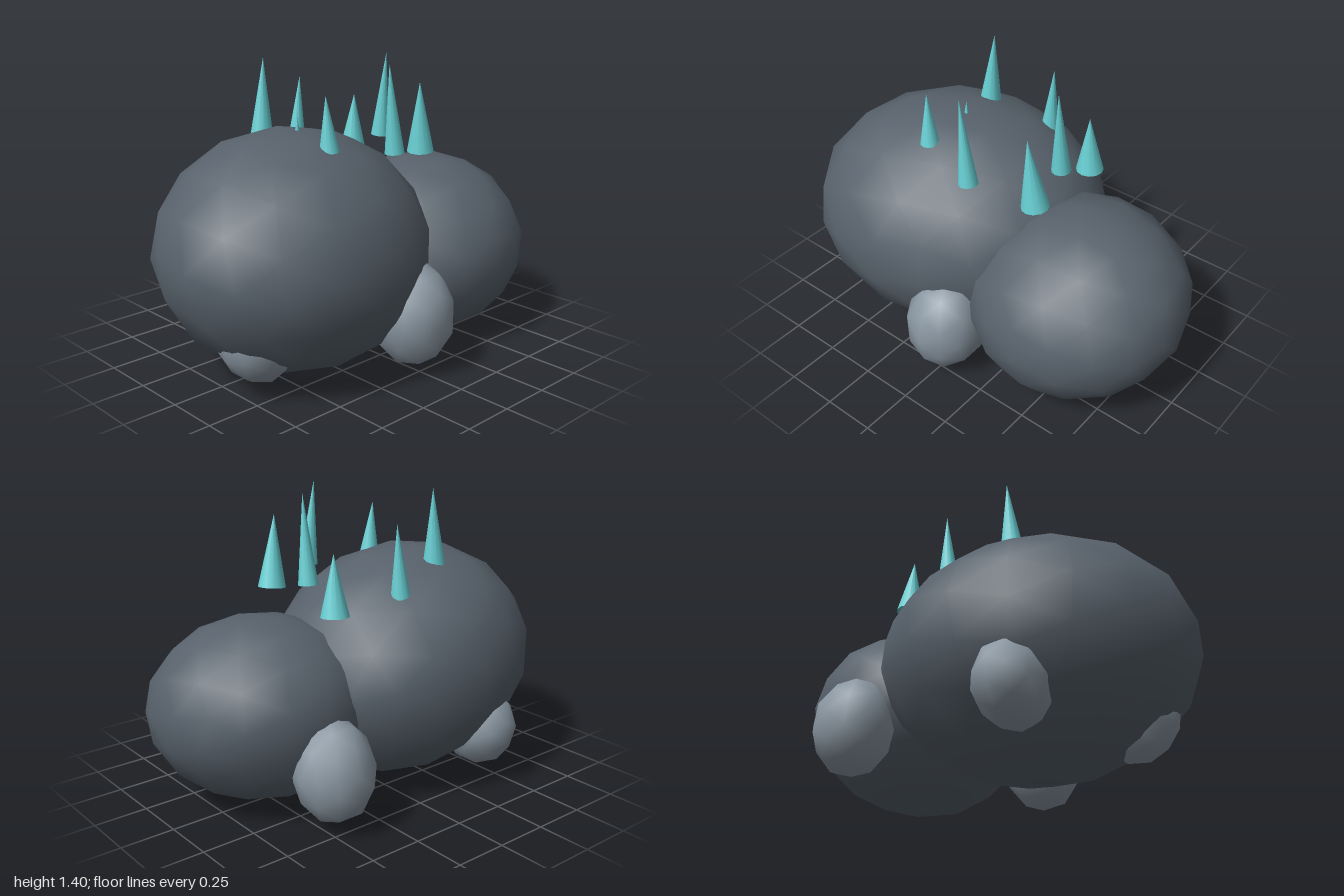
import * as THREE from 'three';

const material = (color) => new THREE.MeshStandardMaterial({ color });
const UP = new THREE.Vector3(0, 1, 0);

export function createModel() {
  const model = new THREE.Group();
  model.name = 'spikyCreature';
  const skin = material(0x58626c);
  const footSkin = material(0x8a97a2);
  const spikeSkin = material(0x68d0d4);

  // Smooth low-poly ellipsoid with a tilt
  function blob(name, mat, detail, center, radii, tilt = [0, 0, 0]) {
    const mesh = new THREE.Mesh(new THREE.IcosahedronGeometry(1, detail), mat);
    mesh.name = name;
    mesh.position.set(...center);
    mesh.scale.set(...radii);
    mesh.rotation.set(...tilt, 'YZX');
    model.add(mesh);
  }

  // Cone running from the centre of its base to its tip
  function spike(parent, base, tip, radius) {
    const from = new THREE.Vector3(...base);
    const axis = new THREE.Vector3(...tip).sub(from);
    const height = axis.length();
    const geometry = new THREE.ConeGeometry(radius, height, 12);
    geometry.translate(0, height / 2, 0);
    const mesh = new THREE.Mesh(geometry, spikeSkin);
    mesh.name = 'backSpike';
    mesh.position.copy(from);
    mesh.quaternion.setFromUnitVectors(UP, axis.normalize());
    parent.add(mesh);
  }

  // Body and head
  blob('body', skin, 2, [-0.288, 0.553, -0.027], [0.735, 0.55, 0.618], [0.22, 0.36, -0.05]);
  blob('head', skin, 2, [0.48, 0.44, 0.058], [0.533, 0.43, 0.51], [0.24, 0, 0.14]);

  // Feet
  blob('frontFoot', footSkin, 1, [0.005, 0.276, 0.445], [0.192, 0.25, 0.2]);
  blob('headSideFoot', footSkin, 1, [0.452, 0.28, -0.434], [0.185, 0.237, 0.187], [0.15, 0, 0]);
  blob('backFoot', footSkin, 1, [-0.42, 0.28, -0.445], [0.165, 0.2, 0.2], [-0.3, 0, 0]);
  blob('tailSideFoot', footSkin, 1, [-0.675, 0.265, 0.16], [0.175, 0.21, 0.18], [0, 0, 0.35]);

  // Ring of spikes on the back: base centre, tip, base radius
  const spikes = new THREE.Group();
  spikes.name = 'backSpikes';
  model.add(spikes);
  [
    [[0.285, 0.995, -0.045], [0.283, 1.4, -0.007], 0.046],
    [[0.32, 0.945, 0.19], [0.285, 1.28, 0.21], 0.065],
    [[0.03, 0.995, 0.295], [-0.01, 1.4, 0.295], 0.046],
    [[-0.28, 1.03, 0.2], [-0.295, 1.28, 0.193], 0.046],
    [[-0.26, 0.88, -0.035], [-0.26, 1.15, -0.035], 0.046],
    [[-0.295, 0.995, -0.25], [-0.27, 1.4, -0.257], 0.06],
    [[0, 0.945, -0.345], [0.02, 1.28, -0.338], 0.046],
    [[0.3, 0.895, -0.255], [0.295, 1.17, -0.24], 0.065],
  ].forEach(([base, tip, radius]) => spike(spikes, base, tip, radius));

  return model;
}
